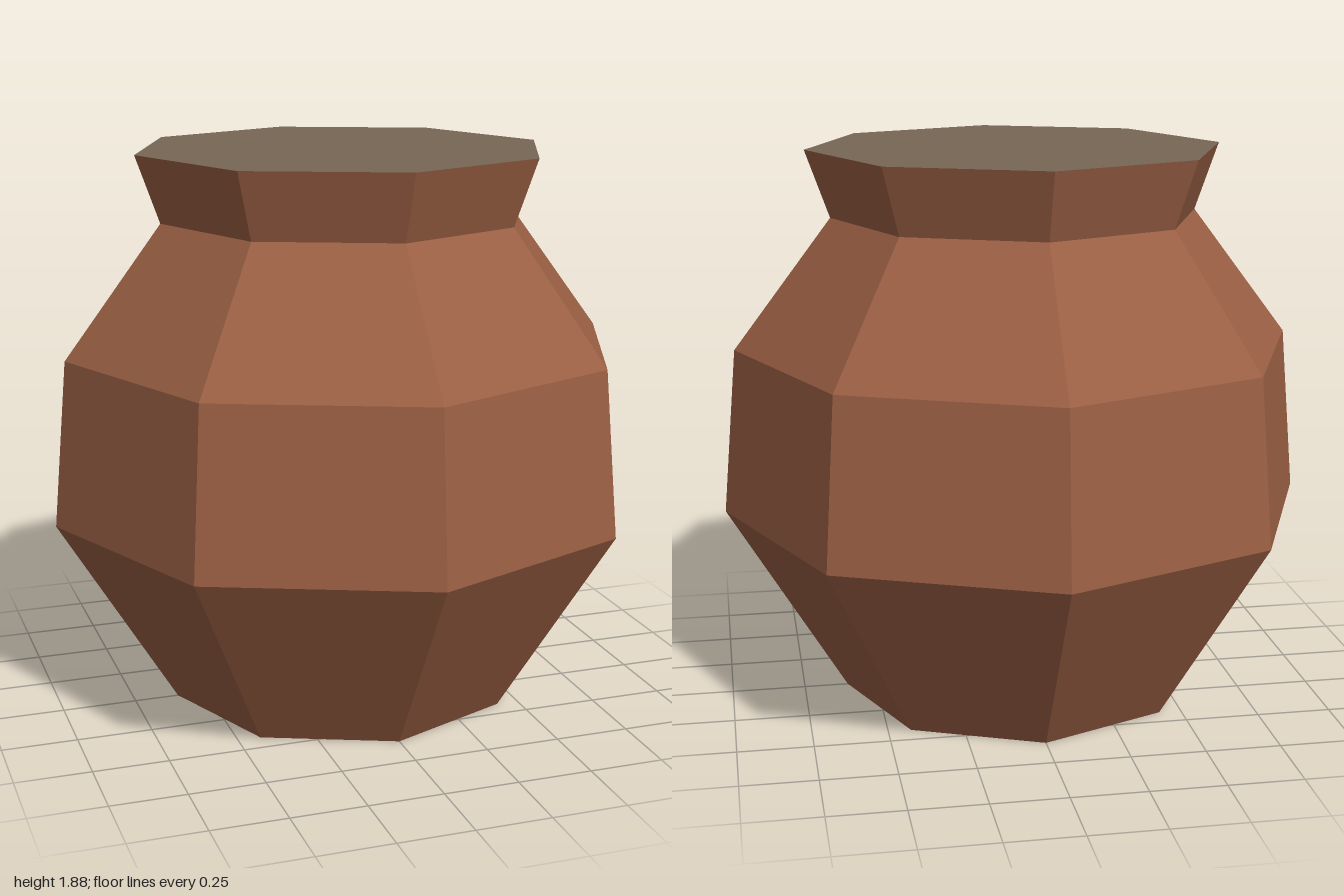
import * as THREE from 'three';

const SIDES = 8;

export function createModel() {
  const pot = new THREE.Group();
  pot.name = 'pot';

  const clay = new THREE.MeshStandardMaterial({ color: 0x9c6044, flatShading: true });
  clay.name = 'clay';
  const filling = new THREE.MeshStandardMaterial({ color: 0x786655, flatShading: true });
  filling.name = 'filling';

  // Faceted body: closed base, belly, shoulder, neck and flared rim
  const profile = [
    [0, 0], [0.6, 0], [1, 0.66], [0.95, 1.22], [0.62, 1.655], [0.7, 1.88],
  ].map(([r, y]) => new THREE.Vector2(r, y));
  const body = new THREE.Mesh(new THREE.LatheGeometry(profile, SIDES), clay);
  body.name = 'body';

  // Flat surface closing the mouth level with the rim
  const top = new THREE.Mesh(new THREE.CircleGeometry(0.7, SIDES).rotateX(-Math.PI / 2), filling);
  top.name = 'mouthSurface';
  top.position.y = 1.88;

  pot.add(body, top);
  return pot;
}
